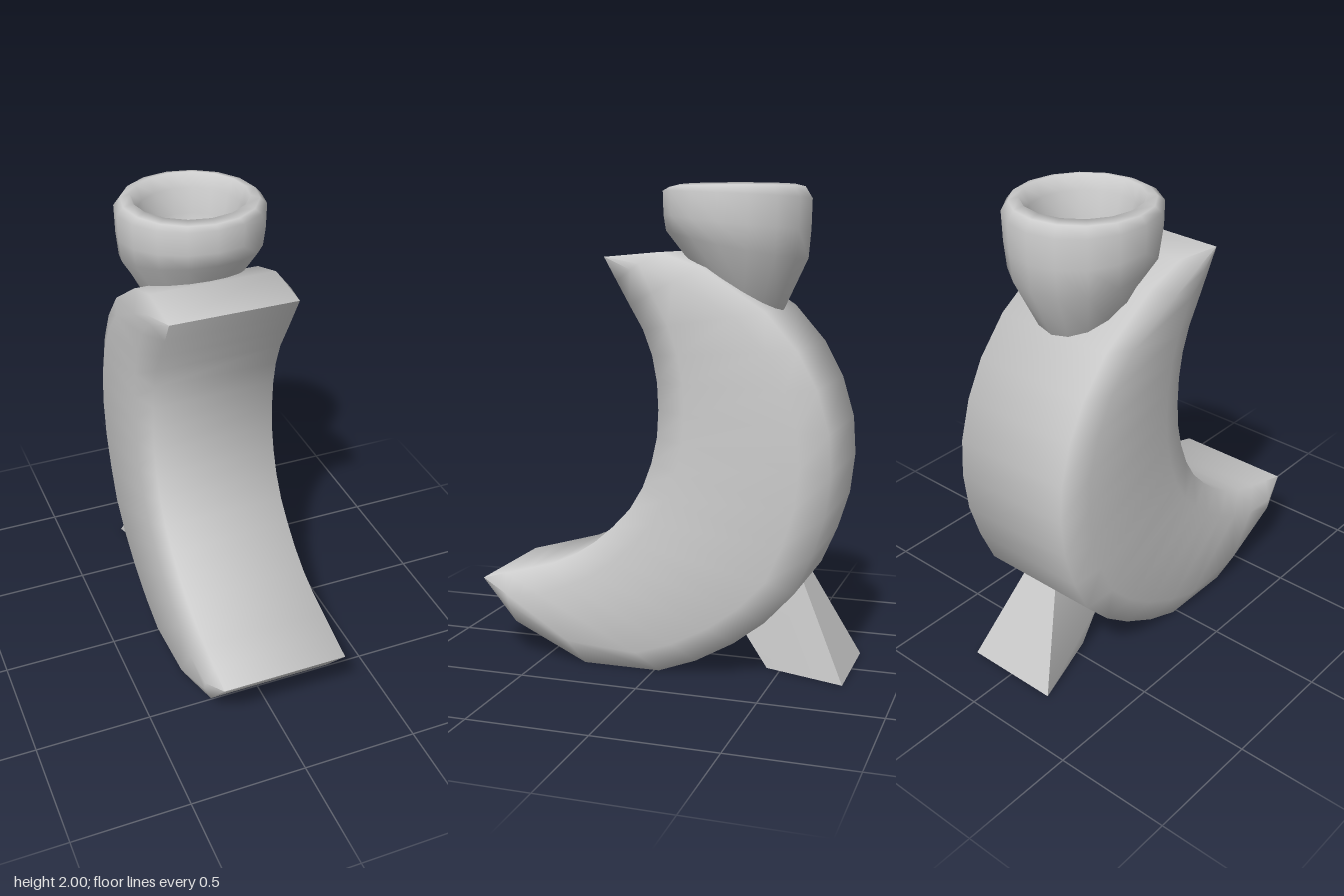
import * as THREE from 'three';
import { mergeVertices, toCreasedNormals } from 'three/addons/utils/BufferGeometryUtils.js';

const material = new THREE.MeshStandardMaterial({ color: 0xcccccc, side: THREE.DoubleSide });

function addMesh(group, name, geometry) {
  const mesh = new THREE.Mesh(geometry, material);
  mesh.name = name;
  group.add(mesh);
}

// Skin a list of closed loops (arrays of [x, y, z]) and close the first one
function loft(loops, crease) {
  const n = loops[0].length;
  const index = [];
  for (let i = 0; i < loops.length - 1; i++) {
    for (let j = 0; j < n; j++) {
      const a = i * n + j, b = i * n + (j + 1) % n;
      index.push(a, b, b + n, a, b + n, a + n);
    }
  }
  for (let j = 1; j < n - 1; j++) index.push(0, j + 1, j);
  const geometry = new THREE.BufferGeometry();
  geometry.setAttribute('position', new THREE.Float32BufferAttribute(loops.flat(2), 3));
  geometry.setIndex(index);
  return toCreasedNormals(geometry, crease);
}

// Crescent body: outer and inner edges as [z, y], both from upper to lower tip
function crescentGeometry() {
  const toPoints = (list) => list.map(([z, y]) => new THREE.Vector2(z, y));
  const outer = toPoints([
    [0.21, 1.71], [-0.02, 1.73], [-0.2, 1.67], [-0.46, 1.5], [-0.59, 1.35], [-0.67, 1.2],
    [-0.72, 1.03], [-0.73, 0.87], [-0.71, 0.7], [-0.66, 0.54], [-0.59, 0.38], [-0.47, 0.25],
    [-0.34, 0.15], [-0.18, 0.06], [-0.02, 0], [0.31, 0], [0.63, 0.15], [0.78, 0.33],
  ]);
  const inner = new THREE.SplineCurve(toPoints([
    [0.21, 1.71], [0.12, 1.55], [0.03, 1.39], [-0.01, 1.24], [-0.02, 1.1], [-0.01, 0.96],
    [0.03, 0.82], [0.09, 0.7], [0.19, 0.59], [0.3, 0.5], [0.43, 0.43], [0.6, 0.38], [0.78, 0.33],
  ])).getSpacedPoints(outer.length - 1);

  const edge = 0.27;
  const loops = outer.map((o, i) => {
    const p = inner[i];
    const thickness = o.distanceTo(p);
    const inset = Math.min(0.4, 0.12 / Math.max(thickness, 0.01));
    const side = edge + 0.04 * Math.min(1, thickness / 0.24);
    const at = (x, t) => [x, o.y + (p.y - o.y) * t, o.x + (p.x - o.x) * t];
    return [
      at(-edge, 0), at(edge, 0), at(side, inset), at(side, 1 - inset),
      at(edge, 1), at(-edge, 1), at(-side, 1 - inset), at(-side, inset),
    ];
  });
  return loft(loops, 1.3);
}

// Hollow cup: a turned profile whose lower rings tilt down toward the back
function cupGeometry() {
  const profile = [
    [0.12, 1.46], [0.2, 1.6], [0.295, 1.76], [0.305, 1.85], [0.308, 1.96], [0.28, 1.99],
    [0.24, 2.0], [0.215, 1.94], [0.185, 1.84], [0.18, 1.76], [0.12, 1.71], [0, 1.69],
  ].map(([r, y]) => new THREE.Vector2(r, y));
  let geometry = new THREE.LatheGeometry(profile, 16);
  const pos = geometry.attributes.position;
  for (let i = 0; i < pos.count; i++) {
    const ring = i % profile.length;
    const tilt = [0.5, 0.5, 0.2, 0.1, 0.05][ring] ?? 0;
    pos.setY(i, pos.getY(i) + tilt * pos.getZ(i));
  }
  geometry.deleteAttribute('uv');
  geometry.deleteAttribute('normal');
  geometry = mergeVertices(geometry, 1e-4);
  geometry.computeVertexNormals();
  return geometry.translate(0, 0, -0.273);
}

// Rear prop: a flared foot narrowing up into the body
function footGeometry() {
  const section = (backX, backY, backZ, frontX, frontY, frontZ) => [
    [backX, backY, backZ], [-backX, backY, backZ],
    [-frontX, frontY, frontZ], [frontX, frontY, frontZ],
  ];
  return loft([
    section(0.21, 0, -0.78, 0.1, 0, -0.44),
    section(0.09, 0.38, -0.59, 0.1, 0.15, -0.34),
    section(0.07, 0.46, -0.55, 0.1, 0.26, -0.27),
  ], 0.9);
}

export function createModel() {
  const group = new THREE.Group();
  group.name = 'crescentHolder';
  addMesh(group, 'crescentBody', crescentGeometry());
  addMesh(group, 'cup', cupGeometry());
  addMesh(group, 'rearFoot', footGeometry());
  return group;
}
